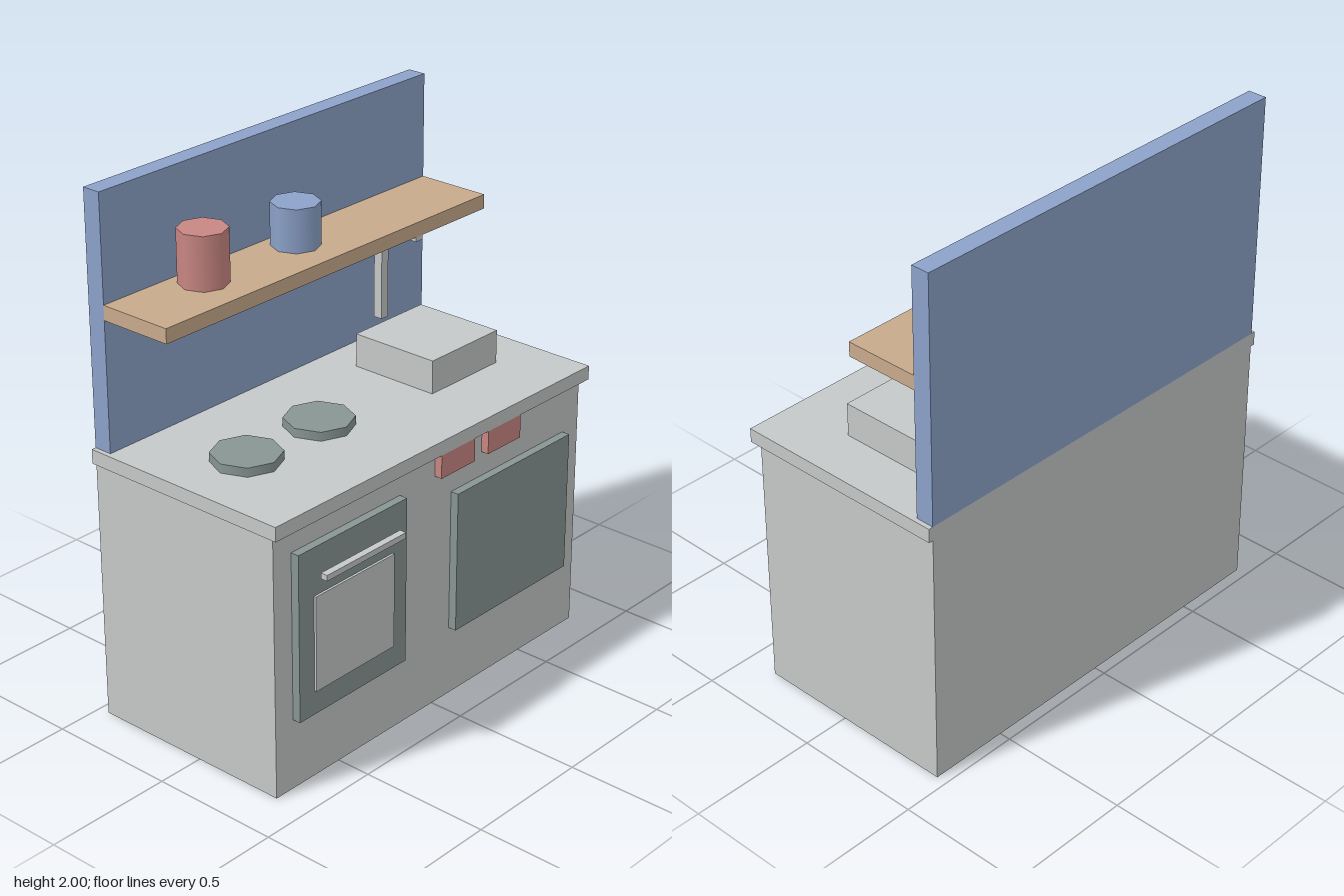
import * as THREE from 'three';

const mat = (name, color) => {
  const m = new THREE.MeshStandardMaterial({ color });
  m.name = name;
  return m;
};

export function createModel() {
  const grey = mat('pale grey', 0xc6c9c9);
  const slate = mat('slate green', 0x889694);
  const blue = mat('blue', 0x8ca2c9);
  const wood = mat('wood', 0xc8aa8c);
  const red = mat('red', 0xc98783);

  const model = new THREE.Group();
  model.name = 'kitchenUnit';

  // Box given by its extents on each axis
  const box = (name, material, [x0, x1], [y0, y1], [z0, z1]) => {
    const mesh = new THREE.Mesh(new THREE.BoxGeometry(x1 - x0, y1 - y0, z1 - z0), material);
    mesh.position.set((x0 + x1) / 2, (y0 + y1) / 2, (z0 + z1) / 2);
    mesh.name = name;
    model.add(mesh);
  };

  // Upright eight-sided cylinder standing on y0
  const drum = (name, material, radius, x, y0, y1, z) => {
    const mesh = new THREE.Mesh(new THREE.CylinderGeometry(radius, radius, y1 - y0, 8), material);
    mesh.position.set(x, (y0 + y1) / 2, z);
    mesh.name = name;
    model.add(mesh);
  };

  // Cabinet, worktop, back panel and shelf
  box('cabinet', grey, [-0.816, 0.816], [0, 1.003], [-0.457, 0.366]);
  box('worktop', grey, [-0.834, 0.834], [1.003, 1.057], [-0.457, 0.396]);
  box('backPanel', blue, [-0.816, 0.816], [1.057, 2], [-0.457, -0.385]);
  box('shelf', wood, [-0.816, 0.816], [1.548, 1.603], [-0.4, -0.094]);

  // Oven door with window and handle
  box('ovenDoor', slate, [-0.73, -0.185], [0.273, 0.912], [0.36, 0.398]);
  box('ovenWindow', grey, [-0.656, -0.258], [0.366, 0.73], [0.39, 0.407]);
  box('ovenHandle', grey, [-0.656, -0.258], [0.808, 0.83], [0.43, 0.457]);

  // Cupboard door
  box('cupboardDoor', slate, [0.09, 0.727], [0.273, 0.82], [0.36, 0.398]);

  // Hanging towels
  for (const x of [0, 0.255]) box('towel', red, [x, x + 0.181], [0.914, 1.003], [0.36, 0.396]);

  // Basin and tap
  box('basin', grey, [0.272, 0.634], [1.057, 1.185], [-0.236, 0.124]);
  box('tapPost', grey, [0.434, 0.47], [1.185, 1.56], [-0.292, -0.256]);
  box('tapSpout', grey, [0.434, 0.47], [1.53, 1.56], [-0.292, -0.095]);

  // Hob plates
  for (const x of [-0.546, -0.183]) drum('hobPlate', slate, 0.127, x, 1.057, 1.091, -0.005);

  // Jars on the shelf
  drum('tallJar', red, 0.09, -0.456, 1.603, 1.802, -0.276);
  drum('shortJar', blue, 0.09, 0, 1.603, 1.765, -0.276);

  return model;
}
